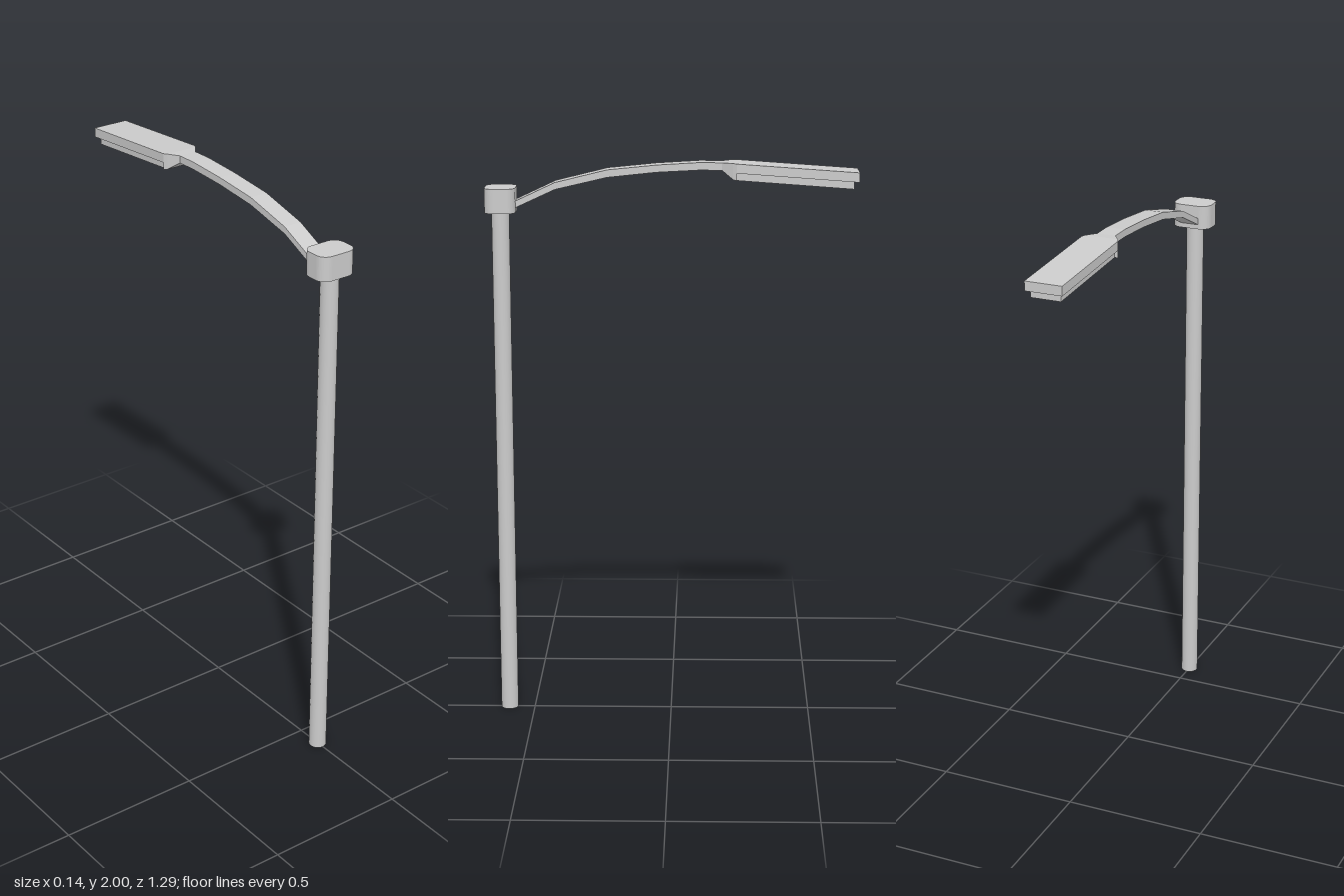
import * as THREE from 'three';

const material = new THREE.MeshStandardMaterial({ color: 0xcccccc, flatShading: true });
const smooth = new THREE.MeshStandardMaterial({ color: 0xcccccc });

// Closed body through rectangular sections [z, halfWidth, top, bottom], running towards -z
function loft(sections) {
  const pos = [];
  const rings = sections.map(([z, w, t, b]) => [[-w, b, z], [w, b, z], [w, t, z], [-w, t, z]]);
  const quad = (a, b, c, d) => pos.push(...a, ...b, ...c, ...a, ...c, ...d);
  for (let i = 0; i < rings.length - 1; i++) {
    const p = rings[i], q = rings[i + 1];
    for (let k = 0; k < 4; k++) {
      const n = (k + 1) % 4;
      quad(p[k], q[k], q[n], p[n]);
    }
  }
  const end = rings[rings.length - 1];
  quad(...rings[0]);
  quad(end[3], end[2], end[1], end[0]);
  const g = new THREE.BufferGeometry();
  g.setAttribute('position', new THREE.Float32BufferAttribute(pos, 3));
  g.computeVertexNormals();
  return g;
}

// Flat plate with rounded corners, lying in the xz plane
function roundedPlate(w, d, r, h) {
  const x = w / 2, y = d / 2, s = new THREE.Shape();
  s.absarc(x - r, y - r, r, 0, Math.PI / 2);
  s.absarc(-x + r, y - r, r, Math.PI / 2, Math.PI);
  s.absarc(-x + r, -y + r, r, Math.PI, Math.PI * 1.5);
  s.absarc(x - r, -y + r, r, Math.PI * 1.5, Math.PI * 2);
  s.closePath();
  return new THREE.ExtrudeGeometry(s, { depth: h, bevelEnabled: false, curveSegments: 5 }).rotateX(-Math.PI / 2);
}

export function createModel() {
  const group = new THREE.Group();
  const add = (name, geometry, mat = material) => {
    const mesh = new THREE.Mesh(geometry, mat);
    mesh.name = name;
    group.add(mesh);
    return mesh;
  };

  // Upright pole and the block on top of it
  add('pole', new THREE.CylinderGeometry(0.031, 0.031, 1.84, 20), smooth).position.set(0, 0.92, 0.592);
  add('poleCap', roundedPlate(0.14, 0.107, 0.036, 0.085)).position.set(0, 1.826, 0.59);

  // Curved flat arm
  add('arm', loft([
    [0.56, 0.033, 1.855, 1.832],
    [0.40, 0.033, 1.930, 1.906],
    [0.22, 0.033, 1.974, 1.948],
    [0.05, 0.033, 1.991, 1.966],
    [-0.10, 0.033, 2.0, 1.974],
    [-0.175, 0.033, 1.999, 1.973],
  ]));

  // Flared neck ending in a deep collar
  add('neck', loft([
    [-0.175, 0.033, 1.999, 1.973],
    [-0.212, 0.059, 2.0, 1.945],
    [-0.225, 0.066, 1.999, 1.941],
  ]));

  // Lamp head: sloping housing with an inset lens tray below
  add('lampHousing', loft([
    [-0.225, 0.066, 1.999, 1.967],
    [-0.645, 0.066, 1.970, 1.937],
  ]));
  add('lampTray', loft([
    [-0.225, 0.053, 1.969, 1.941],
    [-0.628, 0.053, 1.940, 1.912],
  ]));
  return group;
}
